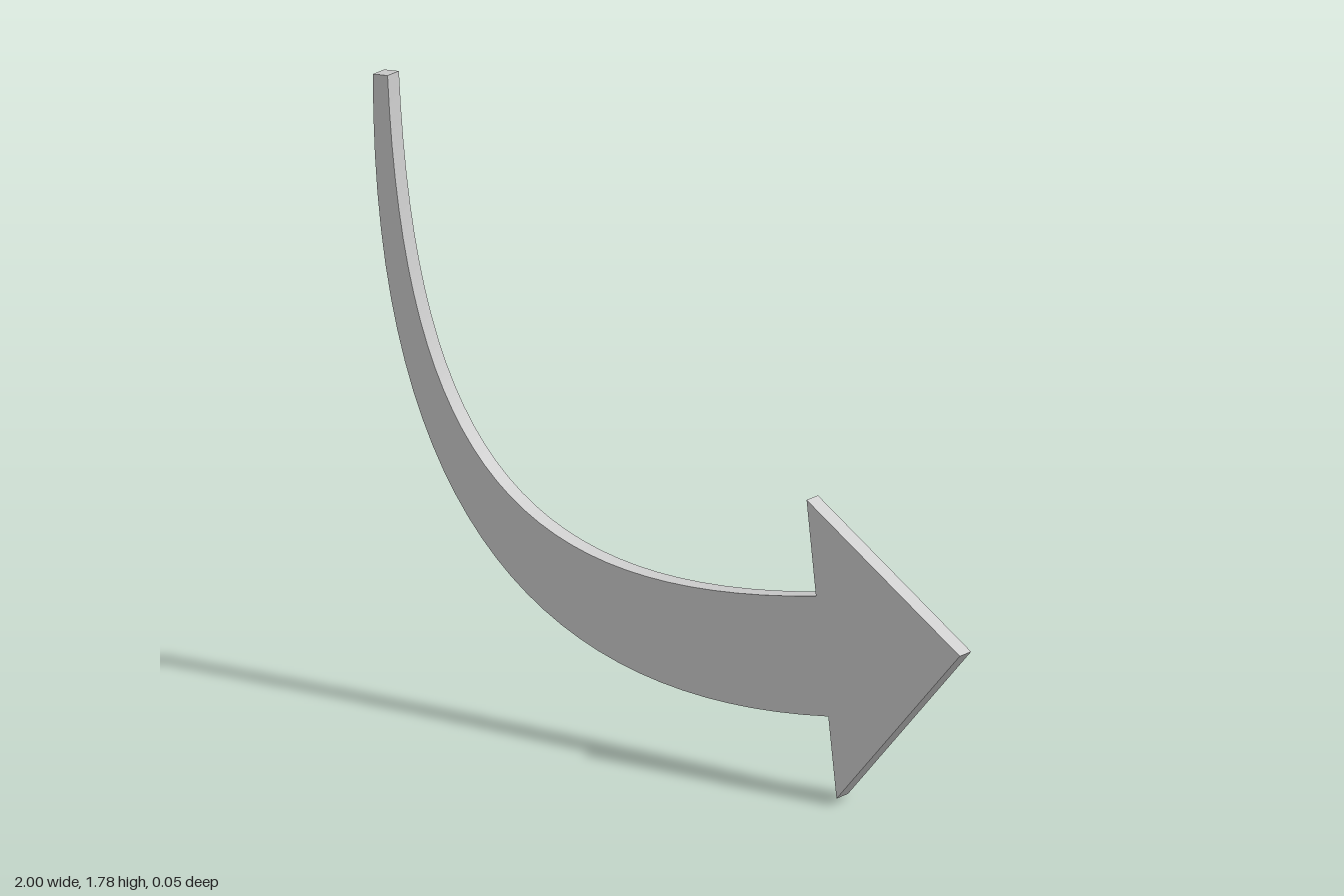
import * as THREE from 'three';
import { toCreasedNormals } from 'three/addons/utils/BufferGeometryUtils.js';

const DEPTH = 0.052;

export function createModel() {
  const group = new THREE.Group();
  group.name = 'curvedArrow';

  // Outline, counter-clockwise from the outer end of the tail
  const outline = new THREE.Shape();
  outline.moveTo(-1, 1.78);
  outline.bezierCurveTo(-1, 0.5, -0.4, 0.09, 0.552, 0.23); // outer sweep
  outline.lineTo(0.58, 0); // lower barb
  outline.lineTo(1, 0.487); // tip
  outline.lineTo(0.478, 0.837); // upper barb
  outline.lineTo(0.51, 0.567);
  outline.bezierCurveTo(-0.5, 0.37, -0.89, 0.69, -0.95, 1.785); // inner sweep
  outline.closePath();

  // Thin plate, smooth along the sweeps and sharp at the corners
  const plate = new THREE.ExtrudeGeometry(outline, {
    depth: DEPTH, bevelEnabled: false, curveSegments: 32,
  });
  plate.translate(0, 0, -DEPTH / 2);

  const arrow = new THREE.Mesh(
    toCreasedNormals(plate, Math.PI / 6),
    new THREE.MeshStandardMaterial({ color: 0xcccccc }),
  );
  arrow.name = 'arrow';
  group.add(arrow);
  return group;
}
